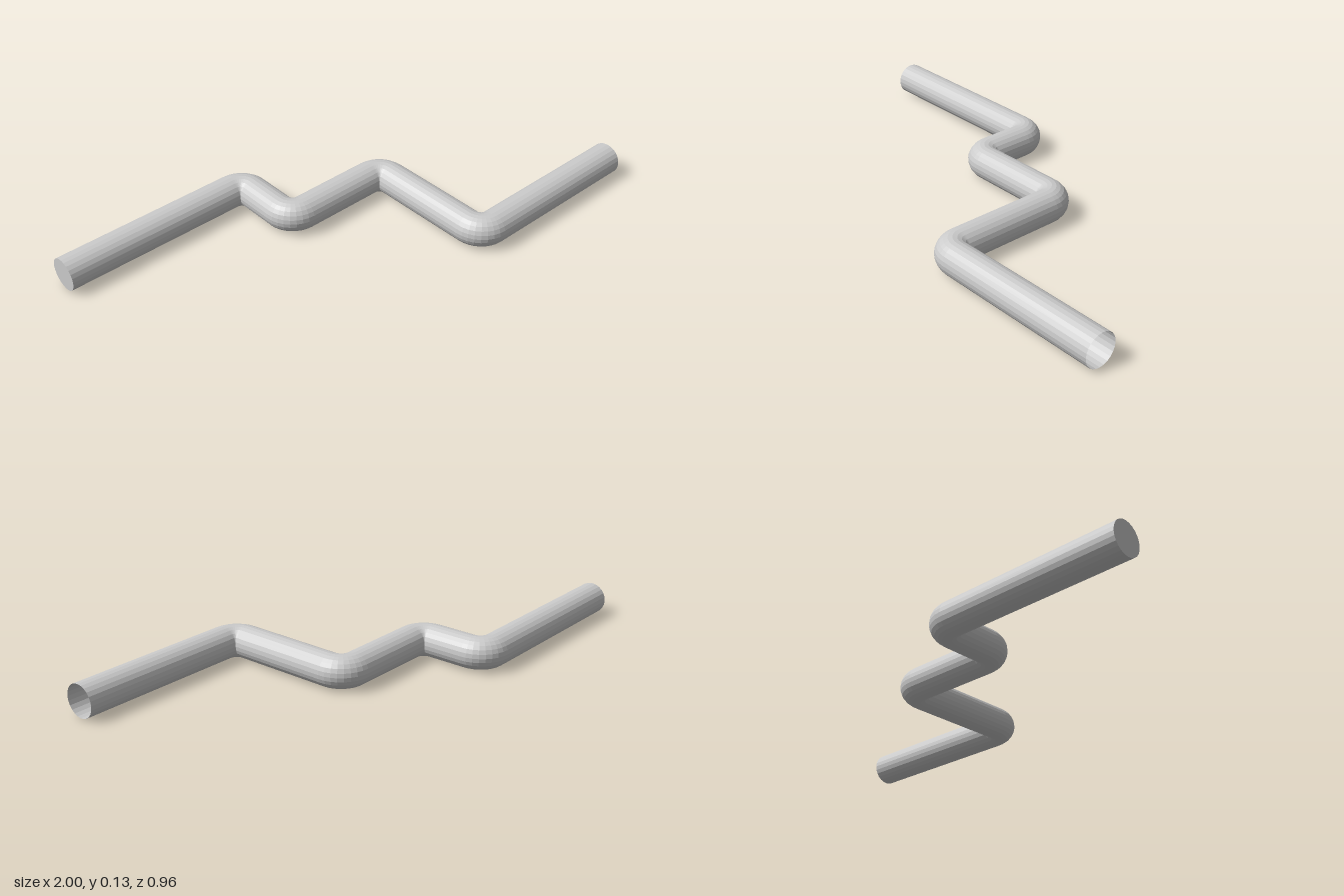
import * as THREE from 'three';

const R = 0.064;        // pipe radius, also the centre-line radius of every bend
const SIDES = 24;
const BEND_STEPS = 8;
const START = [-1, -0.415];
const END = [1, 0.415];
const CORNERS = [[-0.198, -0.415], [-0.198, -0.126], [0.262, -0.126], [0.262, 0.415]];

// Centre-line stations in the ground plane: x, z and heading angle
function pipeStations() {
  const stations = [[...START, 0]];
  CORNERS.forEach(([cx, cz], k) => {
    const turn = k % 2 === 0 ? 1 : -1;
    const from = turn > 0 ? 0 : Math.PI / 2;
    // centre of the elbow arc, on the inner side of the corner
    const ox = cx - R * Math.cos(from) - turn * R * Math.sin(from);
    const oz = cz - R * Math.sin(from) + turn * R * Math.cos(from);
    for (let i = 0; i <= BEND_STEPS; i++) {
      const h = from + turn * (i / BEND_STEPS) * Math.PI / 2;
      stations.push([ox + turn * R * Math.sin(h), oz - turn * R * Math.cos(h), h]);
    }
  });
  stations.push([...END, 0]);
  return stations;
}

// Sweeps a circular section through the stations
function sweepPipe(stations) {
  const positions = [];
  const index = [];
  stations.forEach(([x, z, h], i) => {
    for (let j = 0; j < SIDES; j++) {
      const a = (j / SIDES) * Math.PI * 2;
      const s = R * Math.cos(a);
      positions.push(x - s * Math.sin(h), R + R * Math.sin(a), z + s * Math.cos(h));
      if (i === stations.length - 1) continue;
      const p = i * SIDES + j;
      const q = i * SIDES + (j + 1) % SIDES;
      index.push(p, p + SIDES, q, q, p + SIDES, q + SIDES);
    }
  });
  const geometry = new THREE.BufferGeometry();
  geometry.setAttribute('position', new THREE.Float32BufferAttribute(positions, 3));
  geometry.setIndex(index);
  geometry.computeVertexNormals();
  return geometry;
}

export function createModel() {
  const group = new THREE.Group();
  group.name = 'bentPipe';
  const material = new THREE.MeshStandardMaterial({
    color: 0xcccccc, flatShading: true, side: THREE.DoubleSide,
  });

  // Pipe with four elbows, open at its +x end
  const pipe = new THREE.Mesh(sweepPipe(pipeStations()), material);
  pipe.name = 'pipe';
  group.add(pipe);

  // Flat cap closing the -x end
  const cap = new THREE.Mesh(new THREE.CircleGeometry(R, SIDES), material);
  cap.name = 'endCap';
  cap.rotation.y = -Math.PI / 2;
  cap.position.set(START[0], R, START[1]);
  group.add(cap);

  return group;
}
